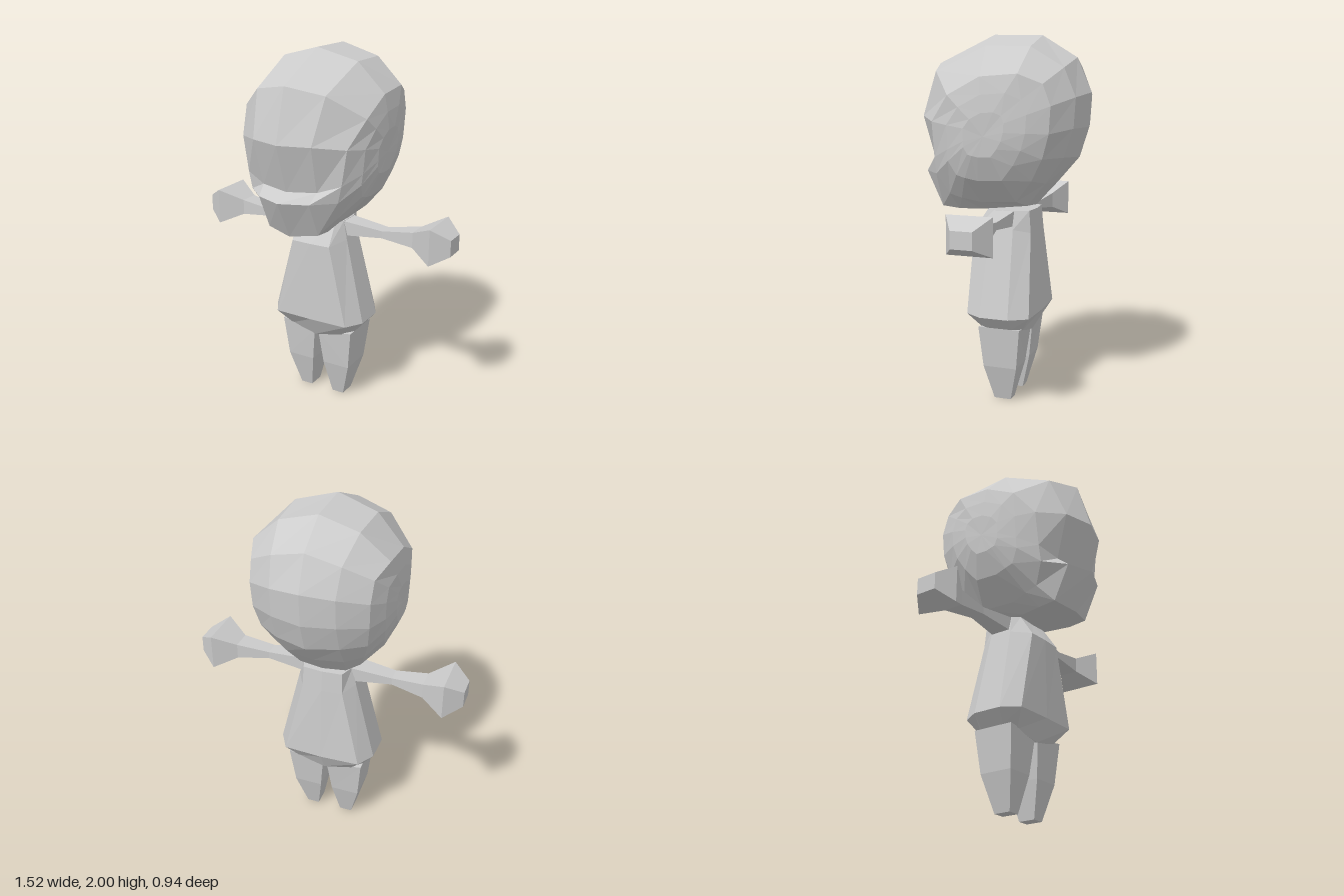
import * as THREE from 'three';

const material = new THREE.MeshStandardMaterial({ color: 0xcccccc, flatShading: true });

// Closed solid skinned over matching loops of [x, y, z], with fan caps at both ends
function loft(name, loops) {
  const tris = [];
  const n = loops[0].length;
  const mid = (loop) => [0, 1, 2].map((k) => loop.reduce((s, p) => s + p[k], 0) / n);
  const first = loops[0], last = loops[loops.length - 1];
  const c0 = mid(first), c1 = mid(last);
  for (let j = 0; j < n; j++) {
    const k = (j + 1) % n;
    for (let i = 0; i + 1 < loops.length; i++) {
      const a = loops[i], b = loops[i + 1];
      tris.push([a[j], a[k], b[k]], [a[j], b[k], b[j]]);
    }
    tris.push([c0, first[k], first[j]], [c1, last[j], last[k]]);
  }
  // Turn the faces outward if the enclosed volume comes out negative
  const v = (p) => new THREE.Vector3(...p);
  const volume = tris.reduce((s, [a, b, c]) => s + v(a).dot(v(b).cross(v(c))), 0);
  if (volume < 0) tris.forEach((t) => t.reverse());
  const geometry = new THREE.BufferGeometry();
  geometry.setAttribute('position', new THREE.Float32BufferAttribute(tris.flat(2), 3));
  geometry.computeVertexNormals();
  const mesh = new THREE.Mesh(geometry, material);
  mesh.name = name;
  return mesh;
}

// Head: side-profile loops from the middle outward, brow > crown > nape > chin > lip > face
function head() {
  const centre = [
    [0, 1.85, 0.39], [0, 2, 0.07], [0, 1.995, -0.2], [0, 1.88, -0.39], [0, 1.7, -0.47],
    [0, 1.52, -0.46], [0, 1.36, -0.41], [0, 1.22, -0.29], [0, 1.09, -0.17], [0, 1.06, 0.1],
    [0, 1.055, 0.24], [0, 1.06, 0.36], [0, 1.27, 0.47], [0, 1.31, 0.385], [0, 1.57, 0.47],
  ];
  const inner = [
    [0.2, 1.81, 0.33], [0.22, 1.94, 0.04], [0.21, 1.935, -0.2], [0.18, 1.83, -0.37], [0.17, 1.68, -0.43],
    [0.17, 1.52, -0.42], [0.17, 1.37, -0.37], [0.16, 1.23, -0.27], [0.13, 1.1, -0.16], [0.13, 1.07, 0.1],
    [0.15, 1.07, 0.22], [0.15, 1.08, 0.32], [0.15, 1.27, 0.41], [0.16, 1.32, 0.35], [0.17, 1.57, 0.42],
  ];
  const outer = [
    [0.36, 1.69, 0.2], [0.365, 1.785, 0.02], [0.36, 1.8, -0.18], [0.32, 1.75, -0.3], [0.315, 1.64, -0.34],
    [0.31, 1.5, -0.33], [0.29, 1.37, -0.29], [0.25, 1.25, -0.22], [0.2, 1.13, -0.12], [0.2, 1.12, 0.08],
    [0.22, 1.14, 0.18], [0.22, 1.16, 0.25], [0.26, 1.27, 0.31], [0.28, 1.36, 0.31], [0.31, 1.55, 0.31],
  ];
  // Cheeks: shrink the outer loop toward the widest point of the head
  const cheek = (t, bulge) => outer.map(([x, y, z]) =>
    [x + (0.39 - x) * bulge, y + (1.51 - y) * t, z * (1 - t)]);
  const half = [inner, outer, cheek(0.33, 0.6), cheek(0.66, 0.9)];
  const mirrored = half.map((l) => l.map(([x, y, z]) => [-x, y, z])).reverse();
  return loft('head', [...mirrored, centre, ...half]);
}

// Torso: rings of ten points mirrored across x, including front and back middle points
function torso() {
  const ring = (half) => [...half, ...half.slice(1, -1).reverse().map(([x, y, z]) => [-x, y, z])];
  return loft('torso', [
    [[0, 0.38, 0.095], [0.16, 0.41, 0.085], [0.22, 0.43, 0.04], [0.22, 0.43, -0.1], [0.16, 0.41, -0.14], [0, 0.38, -0.15]],
    [[0, 0.5, 0.16], [0.22, 0.5, 0.155], [0.28, 0.5, 0.06], [0.28, 0.5, -0.1], [0.22, 0.5, -0.2], [0, 0.5, -0.21]],
    [[0, 0.95, 0.155], [0.115, 0.95, 0.15], [0.165, 0.97, 0.04], [0.165, 0.97, -0.09], [0.115, 0.95, -0.175], [0, 0.95, -0.185]],
    [[0, 1.07, 0.07], [0.11, 1.07, 0.07], [0.14, 1.07, 0.03], [0.14, 1.07, -0.08], [0.11, 1.07, -0.165], [0, 1.07, -0.175]],
  ].map(ring));
}

// Arm with a flared hand: sections [x, top, bottom, front, back]
function arm(side, name) {
  return loft(name, [
    [0.12, 1.07, 0.985, 0.03, -0.09], [0.36, 1.045, 1.005, 0.01, -0.07], [0.54, 1.07, 0.985, 0.01, -0.1],
    [0.665, 1.13, 0.93, 0.08, -0.165], [0.76, 1.07, 0.98, 0.02, -0.095],
  ].map(([x, t, b, f, k]) => [[side * x, t, f], [side * x, b, f], [side * x, b, k], [side * x, t, k]]));
}

// Tapered leg: sections [inner x, inner y, outer x, outer y, front, back]
function leg(side, name) {
  return loft(name, [
    [0.012, 0.4, 0.22, 0.43, 0.09, -0.145], [0.035, 0.2, 0.195, 0.2, 0.07, -0.12], [0.07, 0, 0.14, 0, 0.025, -0.07],
  ].map(([xi, yi, xo, yo, f, k]) => [[side * xi, yi, f], [side * xo, yo, f], [side * xo, yo, k], [side * xi, yi, k]]));
}

export function createModel() {
  const model = new THREE.Group();
  model.name = 'figure';
  model.add(head(), torso());
  for (const [side, label] of [[1, 'left'], [-1, 'right']]) {
    model.add(arm(side, label + 'Arm'), leg(side, label + 'Leg'));
  }
  return model;
}
